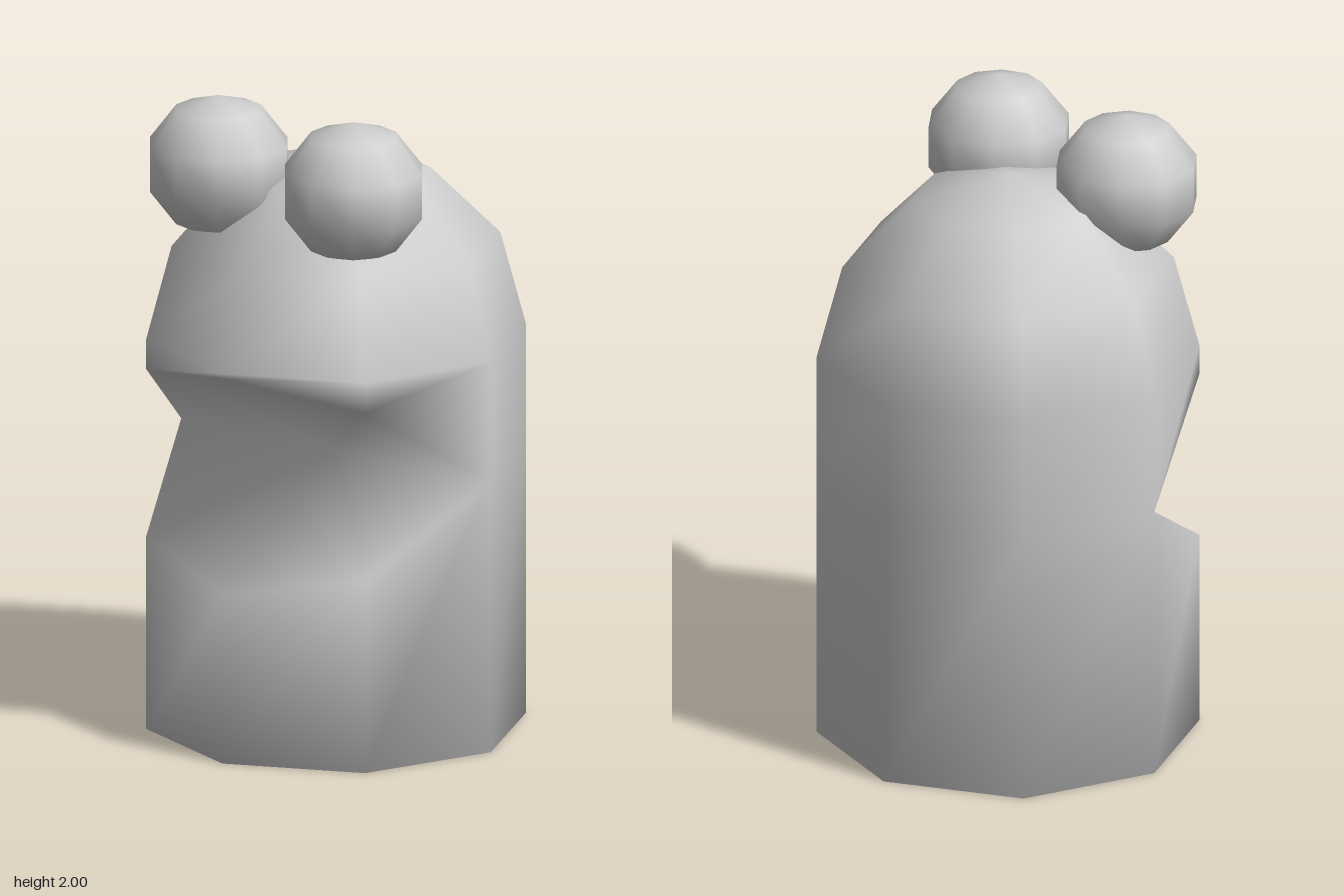
import * as THREE from 'three';
import { mergeVertices } from 'three/addons/utils/BufferGeometryUtils.js';

const R = 0.585;   // body radius
const SIDES = 8;
const DOME_Y = 1.235; // where the dome starts
const MOUTH_Y = 0.86; // mouth corner height

// Eight-sided domed body with a wedge mouth cut into its front half
function bodyGeometry() {
  const pos = [];
  const point = (i, r, y) => {
    const a = (i / SIDES) * Math.PI * 2; // 0 = front
    return [r * Math.sin(a), y, r * Math.cos(a)];
  };
  const tri = (a, b, c) => pos.push(...a, ...b, ...c);
  const quad = (a, b, c, d) => { tri(a, b, c); tri(a, c, d); };

  // Lip heights around the body, closed from the sides to the back
  const lower = [0.53, 0.61, MOUTH_Y, MOUTH_Y, MOUTH_Y, MOUTH_Y, MOUTH_Y, 0.61];
  const upper = [1.22, 1.14, MOUTH_Y, MOUTH_Y, MOUTH_Y, MOUTH_Y, MOUTH_Y, 1.14];
  const throat = [0, MOUTH_Y, 0];

  for (let i = 0; i < SIDES; i++) {
    const j = (i + 1) % SIDES;
    const bottom = (k) => point(k, R, 0);
    const lowLip = (k) => point(k, R, lower[k]);
    const topLip = (k) => point(k, R, upper[k]);
    const dome = (k, step) => {
      const t = (step * Math.PI) / 6;
      return point(k, R * Math.cos(t), DOME_Y + R * Math.sin(t));
    };

    tri([0, 0, 0], bottom(j), bottom(i));                 // base
    quad(bottom(i), bottom(j), lowLip(j), lowLip(i));     // lower wall
    quad(topLip(i), topLip(j), dome(j, 0), dome(i, 0));   // upper wall
    for (let s = 0; s < 2; s++) {
      quad(dome(i, s), dome(j, s), dome(j, s + 1), dome(i, s + 1));
    }
    tri(dome(i, 2), dome(j, 2), [0, DOME_Y + R, 0]);      // crown

    // Jaw and palate, on the front four sides only
    if (i < 2 || i > 5) {
      tri(throat, lowLip(i), lowLip(j));
      tri(throat, topLip(j), topLip(i));
    }
  }

  const raw = new THREE.BufferGeometry();
  raw.setAttribute('position', new THREE.Float32BufferAttribute(pos, 3));
  const g = mergeVertices(raw, 1e-4);
  g.computeVertexNormals();
  return g;
}

export function createModel() {
  const group = new THREE.Group();
  const material = new THREE.MeshStandardMaterial({ color: 0xcccccc });

  const body = new THREE.Mesh(bodyGeometry(), material);
  body.name = 'body';
  group.add(body);

  // Low-poly ball eyes perched on the front of the dome
  const eyeGeometry = new THREE.SphereGeometry(0.22, 10, 5);
  eyeGeometry.rotateY(Math.PI / 10);
  eyeGeometry.scale(1.05, 1, 1.05);
  for (const side of [1, -1]) {
    const eye = new THREE.Mesh(eyeGeometry, material);
    eye.name = side > 0 ? 'leftEye' : 'rightEye';
    eye.position.set(side * 0.255, 1.78, 0.257);
    group.add(eye);
  }
  return group;
}
